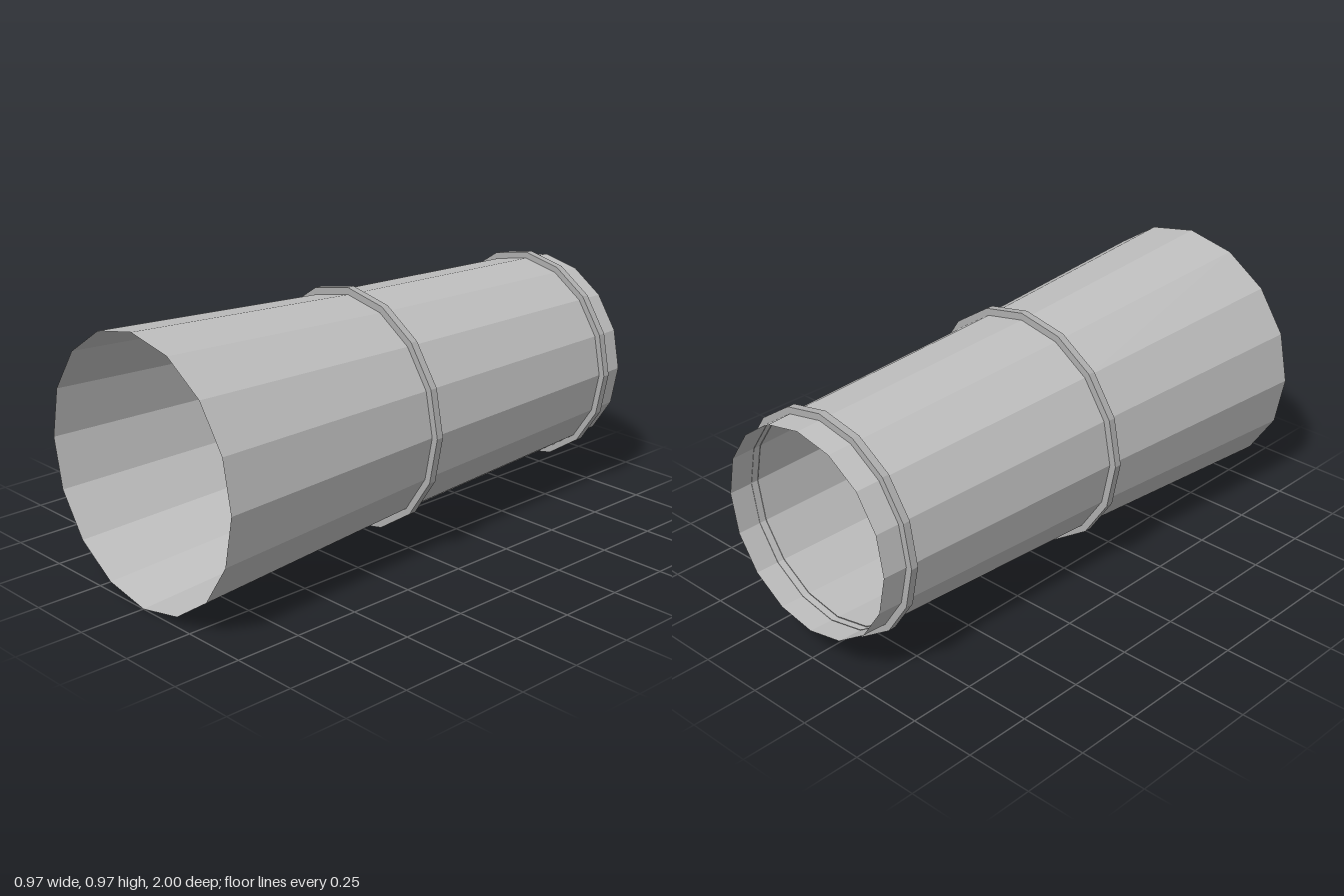
import * as THREE from 'three';

const SIDES = 16;

// Lofts 16-sided sections, each given as [z, radius, centreY]
function loft(sections, material, name) {
  const positions = [], index = [];
  for (const [z, r, cy] of sections) {
    for (let i = 0; i < SIDES; i++) {
      const a = (i / SIDES) * Math.PI * 2;
      positions.push(r * Math.cos(a), cy + r * Math.sin(a), z);
    }
  }
  for (let s = 0; s < sections.length - 1; s++) {
    for (let i = 0; i < SIDES; i++) {
      const j = (i + 1) % SIDES;
      const a = s * SIDES + i, b = s * SIDES + j;
      const c = a + SIDES, d = b + SIDES;
      index.push(a, c, b, b, c, d);
    }
  }
  const indexed = new THREE.BufferGeometry();
  indexed.setAttribute('position', new THREE.Float32BufferAttribute(positions, 3));
  indexed.setIndex(index);
  const geometry = indexed.toNonIndexed();
  geometry.computeVertexNormals();
  const mesh = new THREE.Mesh(geometry, material);
  mesh.name = name;
  return mesh;
}

export function createModel() {
  const tubeMetal = new THREE.MeshStandardMaterial({ color: 0xc0c0c0, side: THREE.DoubleSide });
  tubeMetal.name = 'tube metal';
  const bandMetal = new THREE.MeshStandardMaterial({ color: 0xb0b0b0, side: THREE.DoubleSide });
  bandMetal.name = 'band metal';

  const model = new THREE.Group();
  model.name = 'taperedPipe';

  // Open tube, wide at the front and slightly kinked at the middle band
  model.add(loft([
    [-1, 0.381, 0.493],
    [0.055, 0.424, 0.488],
    [1, 0.484, 0.485],
  ], tubeMetal, 'tube'));

  // Raised bands around the tube: closed rectangular profile
  const band = (z, inner, outer, cy, name) => {
    const h = 0.014;
    model.add(loft([
      [z - h, inner, cy], [z - h, outer, cy],
      [z + h, outer, cy], [z + h, inner, cy],
    ], bandMetal, name));
  };
  band(0.05, 0.422, 0.449, 0.489, 'middleBand');
  band(-0.893, 0.383, 0.409, 0.493, 'rearBand');

  return model;
}
